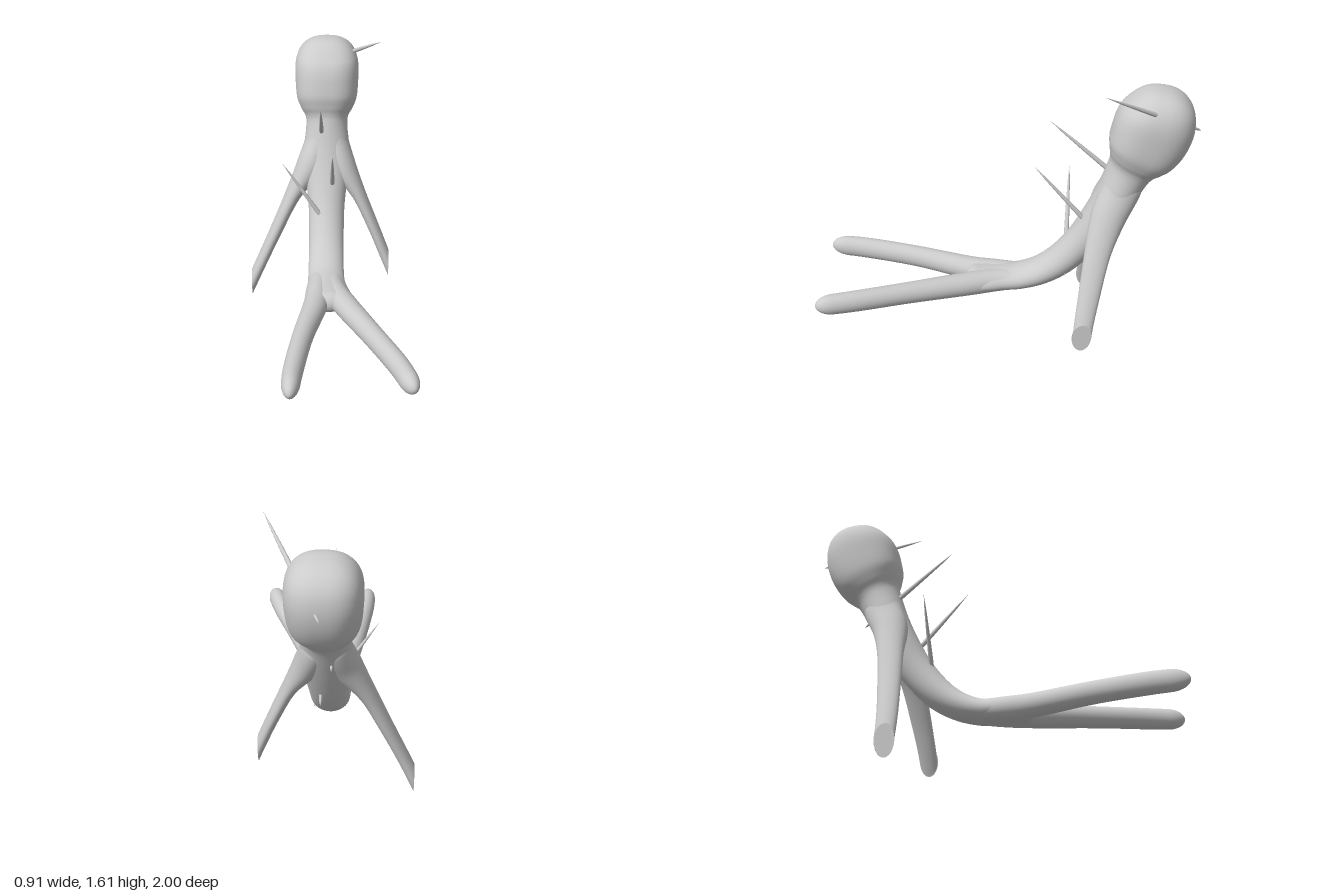
import * as THREE from 'three';

const material = new THREE.MeshStandardMaterial({ color: 0xcccccc, side: THREE.DoubleSide });

// Lofts rounded rings along stations [x, y, z, wideRadius, otherRadius, squareness].
// wide: direction of wideRadius; caps: length of the rounded start and end.
function loft(name, stations, wide, caps, rings = 64, sides = 40) {
  const path = new THREE.CatmullRomCurve3(
    stations.map(s => new THREE.Vector3(s[0], s[1], s[2])), false, 'catmullrom');
  const radii = new THREE.CatmullRomCurve3(
    stations.map(s => new THREE.Vector3(s[3], s[4], s[5] ?? 2)), false, 'catmullrom');
  const ends = [path.getPoint(0), path.getPoint(1)];
  const pos = [], index = [];
  for (let i = 0; i <= rings; i++) {
    const s = 0.5 - 0.5 * Math.cos(Math.PI * i / rings);
    const p = path.getPoint(s), r = radii.getPoint(s), t = path.getTangent(s);
    const u = wide.clone().addScaledVector(t, -wide.dot(t)).normalize();
    const v = t.clone().cross(u);
    let k = 1;
    ends.forEach((e, n) => {
      const d = Math.min(1, p.distanceTo(e) / caps[n]);
      k *= Math.pow(Math.max(0, 1 - Math.pow(1 - d, r.z)), 1 / r.z);
    });
    const bend = c => Math.sign(c) * Math.pow(Math.abs(c), 2 / r.z);
    for (let j = 0; j < sides; j++) {
      const a = 2 * Math.PI * j / sides;
      const q = p.clone().addScaledVector(u, k * r.x * bend(Math.cos(a)))
        .addScaledVector(v, k * r.y * bend(Math.sin(a)));
      pos.push(q.x, q.y, q.z);
      if (i < rings) {
        const A = i * sides + j, B = i * sides + (j + 1) % sides;
        index.push(A, B, A + sides, B, B + sides, A + sides);
      }
    }
  }
  const g = new THREE.BufferGeometry();
  g.setAttribute('position', new THREE.Float32BufferAttribute(pos, 3));
  g.setIndex(index);
  g.computeVertexNormals();
  const mesh = new THREE.Mesh(g, material);
  mesh.name = name;
  return mesh;
}

// Cuts an arm off with an upright plane at |x| = limit, sliding points along the arm.
function cutEnd(mesh, limit, slope) {
  const p = mesh.geometry.attributes.position;
  for (let i = 0; i < p.count; i++) {
    const over = Math.abs(p.getX(i)) - limit;
    if (over > 0) {
      p.setX(i, Math.sign(p.getX(i)) * limit);
      p.setY(i, p.getY(i) + over * slope);
    }
  }
  mesh.geometry.computeVertexNormals();
  return mesh;
}

// Thin needle, pointed at both ends, running from a to b.
function needle(name, a, b) {
  const from = new THREE.Vector3(...a), to = new THREE.Vector3(...b);
  const dir = to.clone().sub(from), len = dir.length();
  const profile = [[0, 0], [0.006, 0.03], [0.011, 0.2], [0.013, 0.42], [0.01, 0.65], [0.006, 0.85], [0, 1]]
    .map(([r, h]) => new THREE.Vector2(r, h * len));
  const mesh = new THREE.Mesh(new THREE.LatheGeometry(profile, 12), material);
  mesh.position.copy(from);
  mesh.quaternion.setFromUnitVectors(new THREE.Vector3(0, 1, 0), dir.normalize());
  mesh.name = name;
  return mesh;
}

export function createModel() {
  const model = new THREE.Group();
  model.name = 'seatedFigure';
  const X = new THREE.Vector3(1, 0, 0), Z = new THREE.Vector3(0, 0, 1);

  // Torso, neck and squarish head in one sweep, from the crotch up
  model.add(loft('torsoAndHead', [
    [0.035, 0.362, 0.21, 0.13, 0.06],
    [0.02, 0.358, 0.1, 0.118, 0.062],
    [0.004, 0.357, 0.0, 0.107, 0.064],
    [0, 0.368, -0.1, 0.101, 0.067],
    [0, 0.41, -0.21, 0.1, 0.075],
    [0, 0.49, -0.32, 0.1, 0.085],
    [0, 0.62, -0.43, 0.104, 0.092],
    [0, 0.78, -0.525, 0.122, 0.099],
    [0, 0.92, -0.595, 0.13, 0.107],
    [0, 1.04, -0.647, 0.119, 0.118],
    [0, 1.09, -0.67, 0.123, 0.13, 2.2],
    [0, 1.13, -0.688, 0.147, 0.155, 2.4],
    [0, 1.19, -0.714, 0.172, 0.186, 2.5],
    [0, 1.29, -0.755, 0.181, 0.203, 2.5],
    [0, 1.4, -0.785, 0.182, 0.193, 2.5],
    [0, 1.525, -0.8, 0.18, 0.165, 2.5],
  ], X, [0.06, 0.2], 120, 48));

  // Legs stretched forward
  model.add(loft('rightLeg', [
    [-0.03, 0.362, -0.1, 0.06, 0.055],
    [-0.044, 0.357, 0.05, 0.066, 0.064],
    [-0.057, 0.362, 0.2, 0.066, 0.064],
    [-0.115, 0.385, 0.5, 0.055, 0.06],
    [-0.155, 0.402, 0.8, 0.051, 0.06],
    [-0.168, 0.407, 1.0, 0.043, 0.057],
  ], X, [0.05, 0.1]));
  model.add(loft('leftLeg', [
    [0.025, 0.362, -0.1, 0.06, 0.055],
    [0.049, 0.357, 0.05, 0.066, 0.064],
    [0.108, 0.364, 0.2, 0.067, 0.064],
    [0.245, 0.388, 0.5, 0.057, 0.059],
    [0.365, 0.406, 0.77, 0.053, 0.058],
    [0.432, 0.412, 0.965, 0.047, 0.055],
  ], X, [0.05, 0.09]));

  // Arms propped behind, flowing out of the shoulders, with upright cut ends
  model.add(cutEnd(loft('rightArm', [
    [-0.025, 1.07, -0.66, 0.1, 0.075],
    [-0.05, 0.95, -0.612, 0.102, 0.078],
    [-0.098, 0.825, -0.56, 0.094, 0.078],
    [-0.2, 0.645, -0.525, 0.07, 0.046],
    [-0.3, 0.425, -0.495, 0.06, 0.037],
    [-0.4, 0.2, -0.47, 0.053, 0.034],
    [-0.51, -0.055, -0.458, 0.048, 0.034],
  ], Z, [0.1, 0.03]), 0.453, 2.33));
  model.add(cutEnd(loft('leftArm', [
    [0.025, 1.07, -0.66, 0.1, 0.075],
    [0.05, 0.95, -0.612, 0.102, 0.078],
    [0.098, 0.825, -0.557, 0.094, 0.072],
    [0.19, 0.66, -0.51, 0.07, 0.041],
    [0.28, 0.455, -0.475, 0.058, 0.033],
    [0.36, 0.255, -0.447, 0.05, 0.031],
    [0.43, 0.08, -0.437, 0.048, 0.031],
  ], Z, [0.1, 0.03]), 0.37, 2.4));

  // Needles passing right through the body
  model.add(
    needle('headNeedle', [0.005, 1.305, -1.0], [0.295, 1.605, -0.5]),
    needle('chestNeedle', [-0.03, 0.888, -0.727], [-0.03, 1.315, -0.235]),
    needle('bellyNeedle', [0.033, 0.597, -0.582], [0.033, 1.08, -0.16]),
    needle('sideNeedle', [0.085, 0.428, -0.34], [-0.25, 0.95, -0.345]),
  );
  return model;
}
